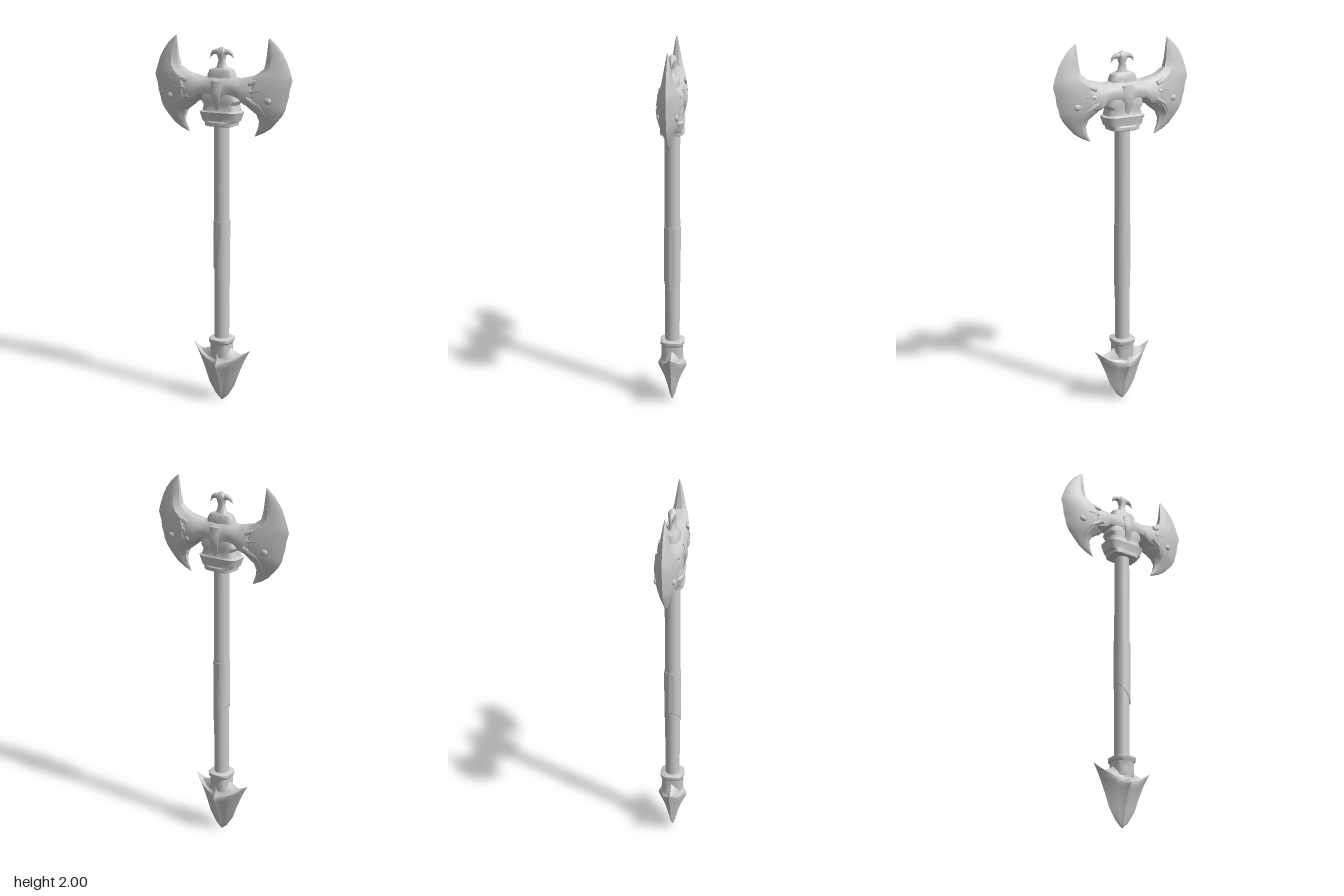
import * as THREE from 'three';
import { toCreasedNormals } from 'three/addons/utils/BufferGeometryUtils.js';

const material = new THREE.MeshStandardMaterial({ color: 0xcccccc, side: THREE.DoubleSide });

function addMesh(parent, name, geometry) {
  const mesh = new THREE.Mesh(geometry, material);
  mesh.name = name;
  parent.add(mesh);
  return mesh;
}

// Skin rings of [x, y, z] corners (counter-clockwise seen from the far end) and cap both ends
function loft(rings, crease = 0.6) {
  const n = rings[0].length;
  const positions = rings.flat(2);
  const index = [];
  for (let i = 0; i < rings.length - 1; i++) {
    for (let j = 0; j < n; j++) {
      const a = i * n + j, b = i * n + (j + 1) % n;
      index.push(a, b, b + n, a, b + n, a + n);
    }
  }
  const last = (rings.length - 1) * n;
  for (let j = 1; j < n - 1; j++) {
    index.push(0, j + 1, j, last, last + j, last + j + 1);
  }
  const geometry = new THREE.BufferGeometry();
  geometry.setAttribute('position', new THREE.Float32BufferAttribute(positions, 3));
  geometry.setIndex(index);
  return toCreasedNormals(geometry, crease);
}

// Horizontal rounded-rectangle rings from rows of [y, half width, half depth]
const spow = (v, p) => Math.sign(v) * Math.abs(v) ** p;
function blockRings(rows, power = 0.5, sides = 24) {
  return rows.map(([y, w, d]) => Array.from({ length: sides }, (_, j) => {
    const a = (j / sides) * Math.PI * 2;
    return [w * spow(Math.sin(a), power), y, d * spow(Math.cos(a), power)];
  }));
}

// Tapered horn along a curve in an xy plane, with separate in-plane and z radii
function horn(points, inPlane, depth) {
  const curve = new THREE.CatmullRomCurve3(points.map((p) => new THREE.Vector3(...p)));
  const rings = [];
  for (let i = 0; i <= 12; i++) {
    const t = i / 12, p = curve.getPoint(t), tan = curve.getTangent(t);
    const k = Math.max(0.05, 1 - t ** 1.5);
    const side = new THREE.Vector3().crossVectors(tan, new THREE.Vector3(0, 0, 1)).normalize();
    rings.push(Array.from({ length: 10 }, (_, j) => {
      const a = (j / 10) * Math.PI * 2;
      const s = Math.sin(a) * inPlane * k;
      return [p.x + side.x * s, p.y + side.y * s, p.z + Math.cos(a) * depth * k];
    }));
  }
  return loft(rings, 1);
}

function buildBlade() {
  const blade = new THREE.Group();
  // Crescent rows: [y, inner x, outer x, half thickness]
  const rows = [
    [1.49, 0.193, 0.2, 0.002], [1.51, 0.202, 0.245, 0.008], [1.535, 0.214, 0.285, 0.013],
    [1.57, 0.221, 0.318, 0.022], [1.605, 0.21, 0.348, 0.036], [1.64, 0.165, 0.367, 0.052],
    [1.66, 0.145, 0.37, 0.058], [1.7, 0.14, 0.383, 0.063], [1.74, 0.14, 0.388, 0.062],
    [1.785, 0.16, 0.402, 0.054], [1.81, 0.21, 0.395, 0.044], [1.84, 0.25, 0.385, 0.032],
    [1.88, 0.259, 0.37, 0.024], [1.92, 0.263, 0.348, 0.017], [1.96, 0.266, 0.316, 0.01],
    [1.995, 0.269, 0.274, 0.002],
  ];
  const rings = rows.map(([y, xi, xo, t]) => {
    const at = (f) => xi + (xo - xi) * f;
    const front = [[0, 0.5], [0.28, 1], [0.5, 0.85], [0.74, 0.6], [0.9, 0.28], [1, 0]];
    const back = front.slice(0, -1).reverse().map(([f, z]) => [f, -z]);
    return [...front, ...back].map(([f, z]) => [at(f), y, z * t]);
  });
  addMesh(blade, 'crescentBlade', loft(rings, 0.5));

  // Raised studs and ribs on both faces
  for (const s of [-1, 1]) {
    const stud = addMesh(blade, 'bladeStud', new THREE.SphereGeometry(0.02, 16, 10));
    stud.scale.set(1, 0.85, 0.5);
    stud.position.set(0.285, 1.68, s * 0.044);
    addMesh(blade, 'lowerRib', horn(
      [[0.17, 1.69, s * 0.06], [0.235, 1.65, s * 0.046], [0.262, 1.6, s * 0.028], [0.255, 1.55, s * 0.01]], 0.014, 0.01));
    addMesh(blade, 'upperRib', horn(
      [[0.18, 1.765, s * 0.054], [0.25, 1.79, s * 0.042], [0.295, 1.835, s * 0.025], [0.305, 1.9, s * 0.012]], 0.013, 0.009));
    addMesh(blade, 'middleRib', horn(
      [[0.19, 1.725, s * 0.058], [0.27, 1.735, s * 0.046], [0.345, 1.77, s * 0.022]], 0.012, 0.008));
  }
  return blade;
}

function buildHead() {
  const head = new THREE.Group();
  head.name = 'axeHead';

  // Arm joining the blades: [x, bottom y, top y, half depth], mirrored across x = 0
  const half = [
    [0, 1.66, 1.79, 0.08], [0.035, 1.675, 1.797, 0.066], [0.07, 1.69, 1.79, 0.063],
    [0.11, 1.685, 1.785, 0.065], [0.14, 1.655, 1.792, 0.068], [0.19, 1.64, 1.803, 0.065],
    [0.24, 1.65, 1.825, 0.05], [0.29, 1.69, 1.80, 0.036],
  ];
  const stations = [...half.slice(1).reverse().map(([x, ...r]) => [-x, ...r]), ...half];
  const section = [[1, 0.25], [0.9, 0.62], [0.68, 0.88], [0.4, 1], [0.12, 0.85], [0, 0.45]];
  const outline = [...section, ...section.slice().reverse().map(([v, z]) => [v, -z])];
  addMesh(head, 'crossArm', loft(stations.map(([x, lo, hi, d]) =>
    outline.map(([v, z]) => [x, lo + (hi - lo) * v, z * d])), 0.7));

  // Flared socket gripping the shaft
  addMesh(head, 'socket', loft(blockRings([
    [1.532, 0.07, 0.055], [1.536, 0.082, 0.062], [1.553, 0.084, 0.063], [1.56, 0.1, 0.058],
    [1.585, 0.108, 0.062], [1.607, 0.116, 0.066], [1.615, 0.1, 0.06], [1.645, 0.092, 0.058],
    [1.665, 0.105, 0.062], [1.7, 0.1, 0.058], [1.76, 0.07, 0.045],
  ])));

  // Central keel on front and back
  for (const s of [-1, 1]) {
    addMesh(head, 'socketKeel', horn(
      [[0, 1.77, s * 0.058], [0, 1.7, s * 0.068], [0, 1.63, s * 0.056], [0, 1.58, s * 0.056]], 0.032, 0.012));
  }

  for (const s of [-1, 1]) {
    const blade = buildBlade();
    blade.name = s > 0 ? 'leftBlade' : 'rightBlade';
    blade.scale.x = s;
    head.add(blade);
  }
  return head;
}

function buildFinial() {
  const finial = new THREE.Group();
  finial.name = 'finial';
  addMesh(finial, 'finialBase', loft(blockRings([
    [1.77, 0.08, 0.04], [1.8, 0.078, 0.038], [1.825, 0.066, 0.034], [1.835, 0.04, 0.026],
  ], 0.65)));
  addMesh(finial, 'finialNeck', loft(blockRings([
    [1.82, 0.045, 0.026], [1.845, 0.026, 0.02], [1.875, 0.018, 0.016], [1.9, 0.026, 0.022],
    [1.92, 0.03, 0.022], [1.935, 0.018, 0.014], [1.943, 0.004, 0.004],
  ], 1)));
  for (const s of [-1, 1]) {
    addMesh(finial, 'finialHook', horn(
      [[0, 1.912, 0], [s * 0.035, 1.917, 0], [s * 0.056, 1.907, 0], [s * 0.068, 1.884, 0]], 0.018, 0.016));
  }
  return finial;
}

function buildShaft() {
  const shaft = new THREE.Group();
  shaft.name = 'shaft';
  const profile = [[0.04, 0.32], [0.041, 0.66], [0.042, 1.04], [0.041, 1.3], [0.041, 1.56]];
  addMesh(shaft, 'handle', new THREE.LatheGeometry(profile.map((p) => new THREE.Vector2(...p)), 24));

  // Grip wrap with a slanted lower edge
  const wrap = new THREE.CylinderGeometry(0.045, 0.045, 0.3, 32, 4);
  const pos = wrap.attributes.position;
  for (let i = 0; i < pos.count; i++) {
    const low = 0.5 - pos.getY(i) / 0.3;
    pos.setY(i, pos.getY(i) + 0.87 - low * pos.getX(i) * 1.2);
  }
  wrap.computeVertexNormals();
  addMesh(shaft, 'gripWrap', toCreasedNormals(wrap, 0.6));
  return shaft;
}

function buildPommel() {
  const pommel = new THREE.Group();
  pommel.name = 'pommel';
  // Spearhead rows: [y, half width, half depth, upward sweep at the sides]
  const rows = [
    [0, 0.004, 0.004, 0], [0.03, 0.037, 0.015, 0], [0.09, 0.077, 0.03, 0.003],
    [0.145, 0.103, 0.048, 0.02], [0.195, 0.137, 0.072, 0.05], [0.215, 0.155, 0.08, 0.065],
    [0.232, 0.173, 0.076, 0.08], [0.248, 0.13, 0.064, 0.03], [0.285, 0.082, 0.06, 0.008],
    [0.315, 0.05, 0.05, 0],
  ];
  const quarter = [[0, 1], [0.16, 0.78], [0.4, 0.66], [0.62, 0.48], [0.84, 0.2]];
  const outline = [
    ...quarter, [1, 0], ...quarter.slice(1).reverse().map(([x, z]) => [x, -z]),
    ...quarter.map(([x, z]) => [-x, -z]), [-1, 0], ...quarter.slice(1).reverse().map(([x, z]) => [-x, z]),
  ];
  addMesh(pommel, 'spearhead', loft(rows.map(([y, w, d, sweep]) =>
    outline.map(([x, z]) => [x * w, y + sweep * x * x, z * d])), 0.5));
  addMesh(pommel, 'pommelCollar', loft(blockRings([
    [0.26, 0.055, 0.055], [0.3, 0.056, 0.06], [0.335, 0.056, 0.06], [0.345, 0.064, 0.066],
    [0.362, 0.065, 0.067], [0.368, 0.055, 0.058],
  ], 0.7)));
  return pommel;
}

export function createModel() {
  const model = new THREE.Group();
  model.name = 'doubleBladedAxe';
  model.add(buildShaft(), buildPommel(), buildHead(), buildFinial());
  return model;
}
